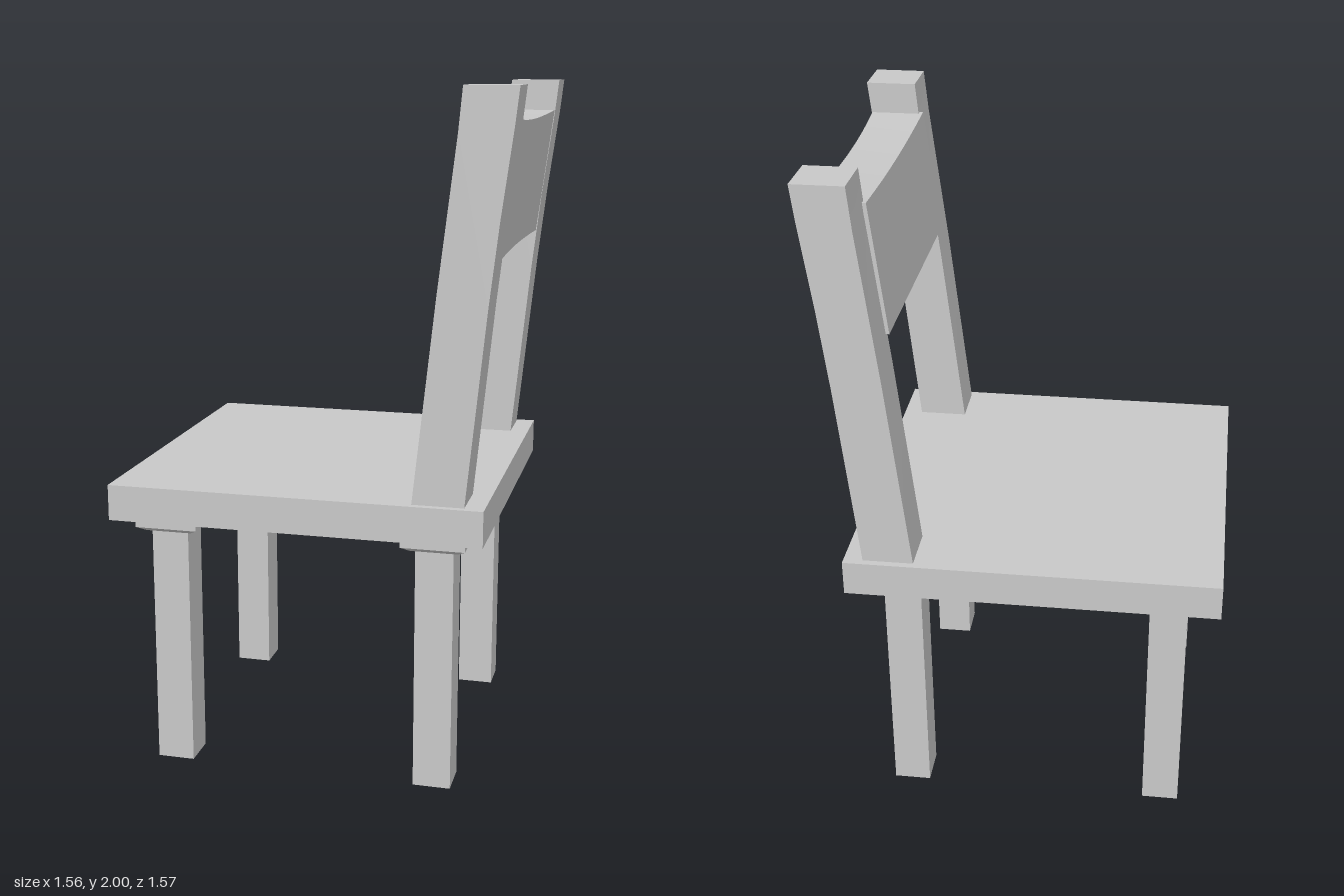
import * as THREE from 'three';
import { toCreasedNormals } from 'three/addons/utils/BufferGeometryUtils.js';

const TURN = Math.atan2(0.69, 0.84); // the whole chair is turned on its base

export function createModel() {
  const grey = new THREE.MeshStandardMaterial({ color: 0xc8c8c8 });
  grey.name = 'plainGrey';

  const model = new THREE.Group();
  model.name = 'chair';
  const chair = new THREE.Group(); // backrest lies towards local +z
  chair.name = 'turnedChair';
  chair.position.set(-0.015, 0, -0.02);
  chair.rotation.y = TURN;
  model.add(chair);

  const add = (name, geometry, x = 0, y = 0, z = 0, parent = chair) => {
    const mesh = new THREE.Mesh(geometry, grey);
    mesh.name = name;
    mesh.position.set(x, y, z);
    parent.add(mesh);
    return mesh;
  };

  // Square seat board
  add('seat', new THREE.BoxGeometry(1.087, 0.105, 1.087), 0, 0.822, 0);

  // Legs with a square mounting block and a tapered collar
  const legGeo = new THREE.BoxGeometry(0.11, 0.73, 0.11);
  const blockGeo = new THREE.BoxGeometry(0.185, 0.035, 0.185);
  const collarGeo = toCreasedNormals(
    new THREE.CylinderGeometry(0.185 / Math.SQRT2, 0.135 / Math.SQRT2, 0.015, 4).rotateY(Math.PI / 4), 0.3);
  for (const sx of [-1, 1]) {
    for (const sz of [-1, 1]) {
      const leg = new THREE.Group();
      leg.name = (sz > 0 ? 'back' : 'front') + (sx > 0 ? 'Left' : 'Right') + 'LegAssembly';
      leg.position.set(sx * 0.393, 0, sz * 0.393);
      chair.add(leg);
      add('leg', legGeo, 0, 0.365, 0, leg);
      add('legBlock', blockGeo, 0, 0.7525, 0, leg);
      add('legCollar', collarGeo, 0, 0.7275, 0, leg);
    }
  }

  // Leaning back posts: side profile extruded across the width
  const profile = new THREE.Shape([
    [0.34, 0.87], [0.487, 0.87], [0.541, 1.42], [0.567, 1.65], [0.6, 1.9], [0.611, 2],
    [0.464, 2], [0.453, 1.88], [0.402, 1.45],
  ].map(([z, y]) => new THREE.Vector2(z, y)));
  const postWidth = 0.145;
  const postGeo = toCreasedNormals(
    new THREE.ExtrudeGeometry(profile, { depth: postWidth, bevelEnabled: false })
      .translate(0, 0, -postWidth / 2).rotateY(-Math.PI / 2), 0.5);
  for (const s of [-1, 1]) add(s > 0 ? 'leftBackPost' : 'rightBackPost', postGeo, s * 0.451, 0, 0);

  // Back rail between the posts, leaning with them and dished in the middle
  const railGeo = new THREE.BoxGeometry(0.79, 1, 1, 8, 5, 1);
  const p = railGeo.attributes.position;
  for (let i = 0; i < p.count; i++) {
    const x = p.getX(i);
    const t = p.getY(i) + 0.5;
    const back = p.getZ(i) > 0;
    const dish = 1 - (x / 0.395) ** 2;
    const z = back ? 0.552 + 0.048 * t : 0.402 + 0.043 * t;
    p.setXYZ(i, x, 1.535 + 0.375 * t - 0.012 * dish * t, z - (back ? 0.01 * dish : 0));
  }
  railGeo.computeVertexNormals();
  add('backRail', railGeo);

  return model;
}
